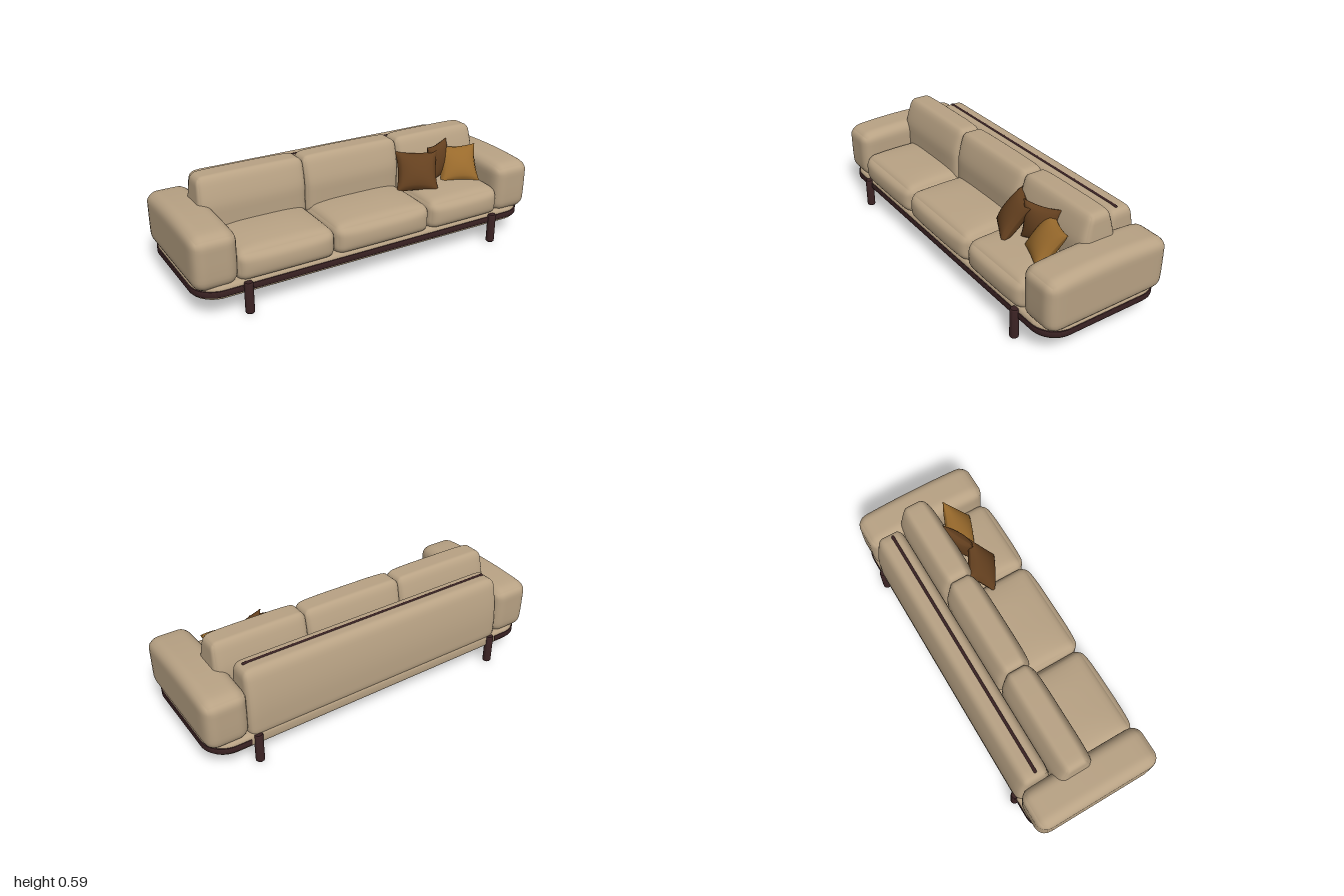
import * as THREE from 'three';
import { mergeVertices, toCreasedNormals } from 'three/addons/utils/BufferGeometryUtils.js';

const material = (name, color) => {
  const m = new THREE.MeshStandardMaterial({ color });
  m.name = name;
  return m;
};

// Share vertices so that the normals run smoothly over every edge
function smooth(geometry) {
  geometry.deleteAttribute('uv');
  geometry.deleteAttribute('normal');
  const merged = mergeVertices(geometry, 1e-5);
  merged.computeVertexNormals();
  return merged;
}

// Rounded upholstery block between two corners; rule(p, u, v, w) shapes it further
function softBox([x0, y0, z0], [x1, y1, z1], r, rule = () => {}) {
  const g = new THREE.BoxGeometry(2, 2, 2, 24, 20, 20);
  const min = new THREE.Vector3(x0, y0, z0), max = new THREE.Vector3(x1, y1, z1);
  const centre = min.clone().add(max).multiplyScalar(0.5);
  const half = max.clone().sub(min).multiplyScalar(0.5);
  const core = half.clone().subScalar(r);
  const pos = g.attributes.position;
  const p = new THREE.Vector3(), q = new THREE.Vector3();
  for (let i = 0; i < pos.count; i++) {
    p.fromBufferAttribute(pos, i);
    const [u, v, w] = p.toArray().map((t) => Math.sin((t * Math.PI) / 2));
    p.set(u, v, w).multiply(half);
    q.copy(p).clamp(core.clone().negate(), core);
    p.sub(q).setLength(r).add(q).add(centre);
    rule(p, u, v, w);
    pos.setXYZ(i, p.x, p.y, p.z);
  }
  return smooth(g);
}

// Square throw pillow, puffed in the middle, with pointed corners
function pillowGeometry(size, thickness) {
  const g = new THREE.BoxGeometry(2, 2, 2, 18, 18, 1);
  const pos = g.attributes.position;
  for (let i = 0; i < pos.count; i++) {
    const u = pos.getX(i), v = pos.getY(i);
    const puff = Math.sqrt((1 - u * u) * (1 - v * v));
    pos.setXYZ(i,
      u * (size / 2) * (1 - 0.12 * (1 - v * v)),
      v * (size / 2) * (1 - 0.12 * (1 - u * u)),
      pos.getZ(i) * (0.003 + (thickness / 2) * puff));
  }
  return smooth(g);
}

// Plan outline with rounded corners; an optional notch recesses the back edge
function planShape(hx, zBack, zFront, r, notch) {
  const s = new THREE.Shape();
  s.moveTo(hx - r, zFront);
  s.lineTo(-hx + r, zFront);
  s.absarc(-hx + r, zFront - r, r, Math.PI / 2, Math.PI, false);
  s.absarc(-hx + r, zBack + r, r, Math.PI, Math.PI * 1.5, false);
  if (notch) {
    s.lineTo(-notch, zBack);
    s.lineTo(-notch, zBack + 0.03);
    s.lineTo(notch, zBack + 0.03);
    s.lineTo(notch, zBack);
  }
  s.absarc(hx - r, zBack + r, r, Math.PI * 1.5, Math.PI * 2, false);
  s.absarc(hx - r, zFront - r, r, 0, Math.PI / 2, false);
  return s;
}

// Slab from a plan outline between two heights
function slab(shape, y0, y1, bevel) {
  const g = new THREE.ExtrudeGeometry(shape, {
    depth: y1 - y0 - 2 * bevel, curveSegments: 12, bevelEnabled: true,
    bevelThickness: bevel, bevelSize: bevel, bevelOffset: -bevel, bevelSegments: 4,
  });
  g.rotateX(Math.PI / 2);
  g.translate(0, y1 - bevel, 0);
  return toCreasedNormals(g, 0.7);
}

export function createModel() {
  const fabric = material('beige fabric', 0xb8a284);
  const wood = material('dark wood', 0x3a2223);
  const brown = material('brown pillow fabric', 0x64401f);
  const gold = material('gold pillow fabric', 0x996a2c);

  const sofa = new THREE.Group();
  sofa.name = 'sofa';
  const add = (name, geometry, mat) => {
    const mesh = new THREE.Mesh(geometry, mat);
    mesh.name = name;
    sofa.add(mesh);
    return mesh;
  };

  // Base with a wooden band round the front and the ends
  add('base', slab(planShape(0.985, -0.353, 0.342, 0.13), 0.1, 0.175, 0.022), fabric);
  add('baseBand', slab(planShape(0.99, -0.357, 0.347, 0.13, 0.78), 0.119, 0.152, 0.002), wood);

  for (const side of [-1, 1]) {
    const label = side > 0 ? 'left' : 'right';

    // Arm, crowned along its top and drawn in a little at the foot
    const armX = [0.772 * side, 1.0 * side].sort((a, b) => a - b);
    add(label + 'Arm', softBox([armX[0], 0.15, -0.357], [armX[1], 0.452, 0.348], 0.062, (p, u, v, w) => {
      const top = Math.max(0, v), foot = Math.max(0, -v);
      p.y -= 0.02 * top * w * w;
      p.z -= 0.008 * foot * foot * w;
    }), fabric);

    // Wooden plate under the base
    const plate = add(label + 'UnderPlate', new THREE.BoxGeometry(0.13, 0.008, 0.41), wood);
    plate.position.set(0.84 * side, 0.099, -0.005);

    // Legs, slightly rounded at both ends
    for (const front of [-1, 1]) {
      const profile = [[0, 0], [0.019, 0], [0.023, 0.005], [0.023, 0.16], [0.019, 0.166], [0, 0.166]];
      const leg = add(label + (front > 0 ? 'FrontLeg' : 'BackLeg'), toCreasedNormals(
        new THREE.LatheGeometry(profile.map(([x, y]) => new THREE.Vector2(x, y)), 20), 0.6), wood);
      leg.position.set(0.742 * side, 0, 0.35 * front);
    }
  }

  // Low back panel, narrowing towards the top, with a wooden rail
  add('backPanel', softBox([-0.782, 0.145, -0.357], [0.782, 0.515, -0.155], 0.045, (p) => {
    const t = THREE.MathUtils.clamp((p.y - 0.25) / 0.265, 0, 1);
    p.z = -0.243 + (p.z + 0.243) * (1 - 0.36 * t * t);
    p.x *= 1 - 0.012 * t;
  }), fabric);
  const rail = add('backRail', new THREE.CapsuleGeometry(0.009, 1.472, 4, 10), wood);
  rail.rotation.z = Math.PI / 2;
  rail.position.set(0, 0.511, -0.241);

  // Three seat cushions and three back cushions share the same seams
  const seams = [-0.255, 0.32];
  const seatEdges = [-0.785, ...seams, 0.785];
  const backEdges = [-0.845, ...seams, 0.845];
  const names = ['right', 'middle', 'left'];
  names.forEach((label, i) => {
    add(label + 'SeatCushion', softBox([seatEdges[i], 0.155, -0.13], [seatEdges[i + 1], 0.316, 0.345], 0.05, (p, u, v, w) => {
      const swell = (1 - u ** 4) * Math.max(0, v);
      p.y += 0.026 * swell * (1 - w * w);
      p.z += 0.02 * Math.max(0, w) * (1 - u ** 4) * (1 - v * v);
    }), fabric);

    add(label + 'BackCushion', softBox([backEdges[i], 0.27, -0.165], [backEdges[i + 1], 0.581, 0.047], 0.035, (p, u, v, w) => {
      const t = THREE.MathUtils.clamp((p.y - 0.43) / 0.15, 0, 1);
      p.z = -0.065 + (p.z + 0.065) * (1 - 0.42 * t ** 1.4) * (1 - 0.12 * u ** 6);
      p.x -= 0.012 * t * (i - 1) * (u * (i - 1) > 0 ? u * u : 0);
      p.y += 0.005 * Math.max(0, v) * (1 - u ** 4);
    }), fabric);
  });

  // Throw pillows: size, thickness, position, lean back, turn
  const pillows = [
    ['brownPillow', brown, 0.235, 0.1, [0.388, 0.412, 0.11], 0.6, -0.5],
    ['middlePillow', brown, 0.205, 0.08, [0.56, 0.433, 0.07], 0.12, 0.42],
    ['goldPillow', gold, 0.23, 0.1, [0.662, 0.408, 0.12], 0.65, -0.38],
  ];
  for (const [name, mat, size, thickness, at, lean, turn] of pillows) {
    const pillow = add(name, pillowGeometry(size, thickness), mat);
    pillow.position.set(...at);
    pillow.rotation.set(-lean, turn, 0, 'YXZ');
  }

  return sofa;
}
